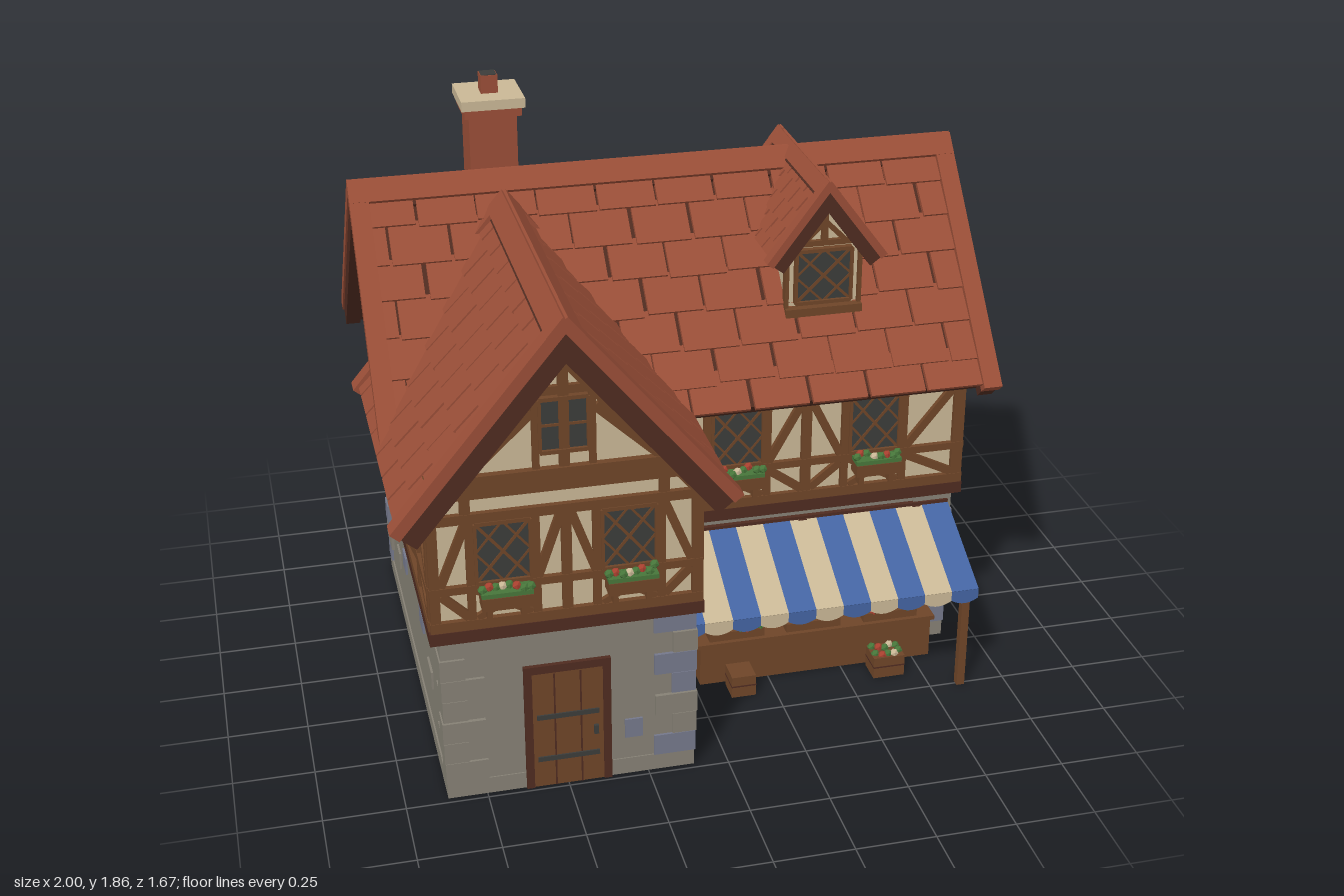
import * as THREE from 'three';
import { mergeGeometries } from 'three/addons/utils/BufferGeometryUtils.js';

const mat = (name, color) => { const m = new THREE.MeshStandardMaterial({ color }); m.name = name; return m; };
const M = {
  plaster: mat('plaster', 0xc9b795), timber: mat('timber', 0x6e4528), dark: mat('darkWood', 0x4f2b20),
  tile: mat('roofTile', 0x994e37), stone: mat('stone', 0x858074), blueStone: mat('blueStone', 0x74788b),
  glass: mat('darkGlass', 0x3b3c3a), blue: mat('awningBlue', 0x4464a2), green: mat('leafGreen', 0x47763a),
  red: mat('flowerRed', 0xa8402f),
};
let seed = 7;
const rnd = () => (seed = (seed * 16807) % 2147483647) / 2147483647;

function add(parent, name, material, geo, x = 0, y = 0, z = 0) {
  const m = new THREE.Mesh(geo, material);
  m.name = name; m.position.set(x, y, z); parent.add(m);
  return m;
}
const box = (p, name, m, w, h, d, x, y, z) => add(p, name, m, new THREE.BoxGeometry(w, h, d), x, y, z);
// box given by its limits
const span = (p, name, m, x0, x1, y0, y1, z0, z1) =>
  box(p, name, m, x1 - x0, y1 - y0, z1 - z0, (x0 + x1) / 2, (y0 + y1) / 2, (z0 + z1) / 2);
function group(parent, name, x = 0, y = 0, z = 0, ry = 0) {
  const g = new THREE.Group();
  g.name = name; g.position.set(x, y, z); g.rotation.y = ry; parent.add(g);
  return g;
}

// Straight timber on a wall plane, from (u1,v1) to (u2,v2)
function beam(p, u1, v1, u2, v2, w = 0.026, d = 0.03) {
  const b = box(p, 'timber', M.timber, Math.hypot(u2 - u1, v2 - v1), w, d, (u1 + u2) / 2, (v1 + v2) / 2, 0);
  b.rotation.z = Math.atan2(v2 - v1, u2 - u1);
}
const rails = (p, half, list) => list.forEach(([v, w]) => beam(p, -half, v, half, v, w, 0.034));
const posts = (p, list, v0, v1, w = 0.03) => list.forEach(u => beam(p, u, v0, u, v1, w));

// Framed window with either a diamond lattice or a plain cross
function windowAt(p, u, v0, w, h, lattice) {
  const g = group(p, 'window', u, v0 + h / 2, 0);
  box(g, 'glass', M.glass, w, h, 0.016, 0, 0, 0.002);
  for (const s of [-1, 1]) {
    beam(g, s * w / 2, -h / 2, s * w / 2, h / 2, 0.01, 0.04);
    beam(g, -w / 2, s * h / 2, w / 2, s * h / 2, 0.012, 0.04);
    if (lattice) {
      beam(g, -w / 2, -s * h / 2, w / 2, s * h / 2, 0.009, 0.026);
      beam(g, 0, s * h / 2, -w / 2, 0, 0.007, 0.024);
      beam(g, 0, s * h / 2, w / 2, 0, 0.007, 0.024);
    }
  }
  if (!lattice) { beam(g, 0, -h / 2, 0, h / 2, 0.012, 0.03); beam(g, -w / 2, 0, w / 2, 0, 0.008, 0.028); }
}

// Leaves and blossoms heaped along a length
function plants(p, w, d, y, n, z = 0) {
  for (let i = 0; i < n; i++) {
    const m = i % 4 === 1 ? M.red : i % 6 === 3 ? M.plaster : M.green;
    add(p, 'plant', m, new THREE.IcosahedronGeometry(0.015, 0), (i / (n - 1) - 0.5) * w, y + rnd() * 0.008, z + (rnd() - 0.5) * d);
  }
}
function flowerBox(p, u) {
  const g = group(p, 'flowerBox', u, 0.71, 0.045);
  box(g, 'planter', M.timber, 0.15, 0.04, 0.06, 0, 0, 0);
  box(g, 'leaves', M.green, 0.15, 0.014, 0.055, 0, 0.027, 0);
  plants(g, 0.14, 0.04, 0.037, 8);
  for (const s of [-1, 1]) box(g, 'bracket', M.timber, 0.016, 0.045, 0.04, s * 0.05, -0.04, -0.015);
}
// Window with posts beside it, crossed timbers below and an optional flower box
function bay(p, u, w, lattice, flowers) {
  posts(p, [u - w / 2 - 0.016, u + w / 2 + 0.016], 0.6, 0.98, 0.024);
  windowAt(p, u, 0.75, w, 0.195, lattice);
  for (const s of [-1, 1]) beam(p, u - w / 2, 0.68 - s * 0.045, u + w / 2, 0.68 + s * 0.045, 0.02);
  if (flowers) flowerBox(p, u);
}
// Triangle of timbers under a gable roof
function gableTimbers(p, half, peak, win) {
  beam(p, -half, 1.065, half, 1.065, 0.07, 0.045);
  beam(p, 0, 1.1, 0, peak, 0.03);
  beam(p, -0.15, win + 0.19, 0.15, win + 0.19, 0.026);
  windowAt(p, 0, win, 0.14, 0.165, false);
  for (const s of [-1, 1]) {
    beam(p, s * half, 0.98, 0, peak - 0.02, 0.05, 0.04);
    beam(p, s * 0.082, 1.1, s * 0.082, win + 0.19, 0.02);
    beam(p, s * 0.28, 1.1, s * 0.09, 1.28, 0.028);
  }
}
// Five-sided house body along local z
function gableBody(p, name, half, y0, y1, peak, depth) {
  const s = new THREE.Shape([[-half, y0], [half, y0], [half, y1], [0, peak], [-half, y1]].map(a => new THREE.Vector2(...a)));
  const geo = new THREE.ExtrudeGeometry(s, { depth, bevelEnabled: false });
  return add(p, name, M.plaster, geo.translate(0, 0, -depth / 2));
}

// Tiled gable roof with its ridge along local z
function gableRoof(p, half, ridge, eave, len, rows, tw, k = 1) {
  const a = Math.atan2(ridge - eave, half), L = Math.hypot(half, ridge - eave), verge = 0.06 * k;
  for (const turn of [0, Math.PI]) {
    const side = group(p, 'roofSlope', 0, ridge, 0, turn);
    const g = group(side, 'slope');
    g.rotation.z = -a;
    box(g, 'roofBoards', M.dark, L - 0.025, 0.062 * k, len - 0.02, L / 2 - 0.0125, -0.0385 * k, 0);
    const tiles = [], step = L / rows, end = len / 2 - verge + 0.005;
    for (let r = 0; r < rows; r++) {
      for (let z = -end - (r % 2) * tw / 2; z < end; z += tw) {
        const z0 = Math.max(-end, z), z1 = Math.min(end, z + tw * (1 + (rnd() - 0.5) * 0.06)), w = z1 - z0 - 0.01;
        if (w < 0.02) continue;
        const l = step * (1.08 + rnd() * 0.12);
        tiles.push(new THREE.BoxGeometry(l, 0.015 * k, w).rotateZ(0.075)
          .translate(Math.min(step * r + l / 2, L - 0.012 - l / 2), 0.002, (z0 + z1) / 2));
      }
    }
    add(g, 'tiles', M.tile, mergeGeometries(tiles));
    for (const s of [-1, 1]) {
      const z = s * (len - verge) / 2;
      box(g, 'vergeTile', M.tile, L + 0.02, 0.036 * k, verge, L / 2 - 0.006, 0.006 * k, z);
      box(g, 'bargeBoard', M.dark, L, 0.06 * k, verge * 0.8, L / 2, -0.04 * k, z);
    }
    box(g, 'ridgeCap', M.tile, 0.075 * k, 0.03 * k, len, 0.018 * k, 0.01 * k, 0);
  }
}

// Low rim of stone under a wall block, open in the middle
function plinth(p, x0, x1, z0, z1, t = 0.02, h = 0.055) {
  span(p, 'plinth', M.stone, x0, x1, 0, h, z0, z0 + t);
  span(p, 'plinth', M.stone, x0, x1, 0, h, z1 - t, z1);
  span(p, 'plinth', M.stone, x0, x0 + t, 0, h, z0 + t, z1 - t);
  span(p, 'plinth', M.stone, x1 - t, x1, 0, h, z0 + t, z1 - t);
}
// Corner stones alternating long and short; blues marks the blue courses from the bottom
function quoins(p, x, z, sx, sz, blues) {
  for (let i = 0; i < 7; i++) {
    const long = i % 2 === 0, w = long ? 0.13 : 0.075, d = long ? 0.075 : 0.13, out = 0.008 + (i % 3) * 0.002;
    box(p, 'cornerStone', blues.includes(i) ? M.blueStone : M.stone, w, 0.07, d,
      x + sx * (out - w / 2), 0.09 + i * 0.073, z + sz * (out - d / 2));
  }
}
function scatter(p, half, n) {
  for (let i = 0; i < n; i++)
    box(p, 'wallStone', i % 2 ? M.blueStone : M.stone, 0.07 + rnd() * 0.03, 0.06, 0.018,
      ((i + 0.2 + rnd() * 0.6) / n * 2 - 1) * half, 0.1 + rnd() * 0.38, 0);
}

export function createModel() {
  const house = new THREE.Group();
  house.name = 'house';
  const R = Math.PI / 2, cx = -0.4925;

  // Ground floor
  const g = group(house, 'groundFloor');
  span(g, 'mainStoneWall', M.stone, -0.865, 0.89, 0.045, 0.57, -0.696, 0.2);
  span(g, 'wingStoneWall', M.stone, -0.865, -0.11, 0.045, 0.57, 0.1, 0.726);
  plinth(g, -0.87, 0.895, -0.7, 0.204);
  plinth(g, -0.87, -0.105, 0.204, 0.73);
  [[-0.865, 0.726, -1, 1, []], [-0.11, 0.726, 1, 1, [0, 3, 4, 6]], [0.89, 0.2, 1, 1, [0, 1, 3, 5]],
    [0.89, -0.696, 1, -1, [1, 3, 4]], [-0.865, -0.696, -1, -1, [0, 2, 5]]].forEach(c => quoins(g, ...c));
  box(g, 'wallStone', M.blueStone, 0.055, 0.065, 0.018, -0.295, 0.165, 0.724);
  const ws = group(g, 'wingRightStones', -0.112, 0, 0, R);
  box(ws, 'wallStone', M.stone, 0.1, 0.06, 0.018, -0.38, 0.315, 0);
  box(ws, 'wallStone', M.blueStone, 0.065, 0.07, 0.018, -0.55, 0.09, 0);
  box(group(g, 'rightStones', 0.888, 0, 0, R), 'wallStone', M.stone, 0.09, 0.065, 0.018, 0.315, 0.09, 0);
  scatter(group(g, 'leftStones', -0.863, 0, 0, -R), 0.55, 5);
  scatter(group(g, 'backStones', 0, 0, -0.694, Math.PI), 0.72, 12);

  // Door
  const door = group(house, 'door', -0.4975, 0, 0.714);
  box(door, 'doorPanel', M.timber, 0.23, 0.41, 0.024, 0, 0.205, 0.008);
  for (const s of [-1, 1]) {
    box(door, 'doorPost', M.dark, 0.024, 0.43, 0.05, s * 0.12, 0.215, 0);
    box(door, 'plankSeam', M.dark, 0.005, 0.4, 0.002, s * 0.04, 0.2, 0.0205);
  }
  box(door, 'doorLintel', M.dark, 0.264, 0.026, 0.052, 0, 0.42, 0);
  for (const y of [0.1, 0.25]) box(door, 'ironBand', M.glass, 0.19, 0.016, 0.006, 0, y, 0.022);
  box(door, 'handle', M.glass, 0.014, 0.03, 0.012, 0.085, 0.185, 0.024);

  // Upper storey bodies and sill beams
  const main = group(house, 'mainUpper', 0.01, 0, -0.247, R);
  gableBody(main, 'mainBody', 0.461, 0.58, 1.0, 1.52, 1.79);
  gableBody(group(house, 'wingUpper', cx, 0, 0.319), 'wingBody', 0.3925, 0.58, 0.99, 1.47, 0.838);
  span(house, 'mainSill', M.dark, -0.902, 0.922, 0.56, 0.6, -0.728, 0.232);
  span(house, 'wingSill', M.dark, -0.902, -0.083, 0.56, 0.6, 0.1, 0.757);

  // Timber frame: wing front
  const low = [[0.615, 0.034], [0.735, 0.024]];
  const wf = group(house, 'wingFrontFrame', cx, 0, 0.738);
  rails(wf, 0.405, [...low, [0.965, 0.03]]);
  posts(wf, [-0.388, 0, 0.388], 0.6, 0.98, 0.03);
  for (const s of [-1, 1]) {
    bay(wf, s * 0.185, 0.16, true, true);
    beam(wf, s * 0.085, 0.75, s * 0.015, 0.95);
    beam(wf, s * 0.37, 0.75, s * 0.29, 0.95);
    beam(wf, s * 0.37, 0.72, s * 0.29, 0.64);
    posts(wf, [s * 0.29], 0.97, 1.05);
  }
  gableTimbers(wf, 0.4, 1.47, 1.15);

  // Main front
  const mf = group(house, 'mainFrontFrame', 0.4025, 0, 0.214);
  rails(mf, 0.5125, [...low, [0.97, 0.035]]);
  posts(mf, [-0.48, -0.015, 0.495], 0.6, 0.98, 0.032);
  for (const u of [-0.2425, 0.2125]) bay(mf, u, 0.165, true, true);
  [[-0.46, 0.95, -0.36, 0.75], [-0.14, 0.75, -0.03, 0.95], [0, 0.95, 0.1, 0.75], [0.32, 0.75, 0.48, 0.95],
    [-0.46, 0.64, -0.36, 0.72], [-0.14, 0.72, -0.03, 0.64], [0, 0.64, 0.1, 0.72], [0.32, 0.72, 0.48, 0.64]]
    .forEach(b => beam(mf, ...b));

  // Gable ends
  for (const s of [1, -1]) {
    const e = group(house, s > 0 ? 'rightGableFrame' : 'leftGableFrame', 0.01 + s * 0.895, 0, -0.247, s * R);
    rails(e, 0.474, low);
    posts(e, [-0.456, 0.456], 0.6, 1.05, 0.036);
    if (s > 0) bay(e, 0, 0.165, false, false);
    else posts(e, [-0.1, 0.1], 0.6, 1.05);
    for (const t of [-1, 1]) {
      beam(e, t * 0.1, 0.95, t * 0.45, 0.78);
      beam(e, t * 0.1, 0.72, t * 0.45, 0.64);
      beam(e, t * 0.36, 1.03, t * 0.44, 0.93);
      beam(e, t * 0.28, 0.6, t * 0.28, 1.03, 0.022);
    }
    gableTimbers(e, 0.468, 1.52, 1.17);

    // Wing sides
    const w = group(house, 'wingSideFrame', cx + s * 0.3925, 0, 0.476, s * R);
    rails(w, 0.262, [...low, [0.955, 0.03]]);
    posts(w, [-0.26, -0.04 * s, 0.245], 0.6, 0.98);
    for (const t of [-1, 1]) {
      beam(w, t * 0.23, 0.76, -0.04 * s + t * 0.02, 0.94);
      beam(w, t * 0.23, 0.64, -0.04 * s + t * 0.02, 0.72);
    }
  }

  // Back
  const back = group(house, 'backFrame', 0.01, 0, -0.708, Math.PI);
  rails(back, 0.905, [[0.615, 0.034], [0.75, 0.024], [0.955, 0.03]]);
  posts(back, [-0.89, -0.7, -0.5, -0.3, -0.1, 0.1, 0.3, 0.5, 0.7, 0.89], 0.6, 0.98);
  windowAt(back, 0, 0.755, 0.165, 0.185, false);

  // Roofs
  gableRoof(group(house, 'mainRoof', 0.0125, 0, -0.25, R), 0.57, 1.607, 0.975, 1.965, 7, 0.19);
  gableRoof(group(house, 'wingRoof', -0.4955, 0, 0.325), 0.488, 1.562, 0.972, 1.01, 7, 0.14);

  // Dormer
  const dormer = group(house, 'dormer', 0.463, 0, -0.13);
  gableRoof(dormer, 0.18, 1.63, 1.39, 0.56, 5, 0.085, 0.7);
  gableBody(group(dormer, 'dormerWalls', 0, 0, 0.055), 'dormerBody', 0.12, 1.19, 1.42, 1.57, 0.35);
  const df = group(dormer, 'dormerFrame', 0, 0, 0.23);
  posts(df, [-0.119, 0.119], 1.2, 1.43, 0.012);
  beam(df, -0.125, 1.212, 0.125, 1.212, 0.03, 0.06);
  beam(df, -0.115, 1.438, 0.115, 1.438, 0.018);
  beam(df, 0, 1.44, 0, 1.56, 0.02);
  for (const s of [-1, 1]) beam(df, s * 0.07, 1.44, 0, 1.51, 0.016);
  windowAt(df, 0, 1.24, 0.18, 0.175, true);

  // Chimney
  const ch = group(house, 'chimney', -0.478, 0, -0.528);
  box(ch, 'stack', M.tile, 0.155, 0.68, 0.155, 0, 1.42, 0);
  box(ch, 'collar', M.tile, 0.185, 0.03, 0.185, 0, 1.755, 0);
  box(ch, 'capStone', M.plaster, 0.205, 0.032, 0.205, 0, 1.785, 0);
  box(ch, 'pot', M.tile, 0.055, 0.06, 0.055, 0, 1.83, 0);
  box(ch, 'potOpening', M.glass, 0.05, 0.004, 0.05, 0, 1.86, 0);

  // Shop front
  const shop = group(house, 'shop');
  span(shop, 'opening', M.glass, -0.07, 0.76, 0.055, 0.5, 0.2, 0.209);
  for (const x of [-0.085, 0.385, 0.775]) box(shop, 'framePost', M.dark, 0.028, 0.52, 0.02, x, 0.26, 0.21);
  span(shop, 'awningRail', M.dark, -0.11, 0.885, 0.515, 0.53, 0.2, 0.216);
  for (const x of [-0.085, 0.85]) box(shop, 'awningPost', M.timber, 0.026, 0.36, 0.026, x, 0.18, 0.5);
  const n = 11, sw = 0.995 / n;
  const flap = new THREE.Shape();
  flap.moveTo(-sw / 2, 0.034); flap.lineTo(-sw / 2, 0);
  flap.quadraticCurveTo(0, -0.03, sw / 2, 0); flap.lineTo(sw / 2, 0.034);
  const flapGeo = new THREE.ExtrudeGeometry(flap, { depth: 0.008, bevelEnabled: false });
  for (let i = 0; i < n; i++) {
    const m = i % 2 ? M.plaster : M.blue, x = -0.11 + (i + 0.5) * sw;
    box(shop, 'awningStripe', m, sw, 0.022, Math.hypot(0.318, 0.155), x, 0.436, 0.362).rotation.x = Math.atan2(0.155, 0.318);
    add(shop, 'awningFlap', m, flapGeo, x, 0.335, 0.517);
  }
  span(shop, 'counter', M.timber, 0.02, 0.81, 0, 0.14, 0.2, 0.315);
  span(shop, 'counterTop', M.timber, 0.01, 0.82, 0.14, 0.155, 0.2, 0.325);
  for (const x of [0.145, 0.405, 0.67]) {
    const c = group(shop, 'produceTray', x, 0.155, 0.265);
    box(c, 'tray', M.timber, 0.185, 0.03, 0.09, 0, 0.015, 0);
    for (const z of [-0.025, 0.025]) plants(c, 0.16, 0.02, 0.028, 8, z);
  }
  for (const [x, full] of [[0.142, false], [0.637, true]]) {
    const c = group(shop, 'crate', x, 0, 0.37);
    box(c, 'crateBox', M.timber, full ? 0.105 : 0.08, 0.075, 0.085, 0, 0.0375, 0);
    box(c, 'crateSeam', M.dark, full ? 0.107 : 0.082, 0.005, 0.087, 0, 0.04, 0);
    if (full) for (const z of [-0.02, 0.02]) plants(c, 0.08, 0.02, 0.073, 5, z);
  }
  return house;
}
